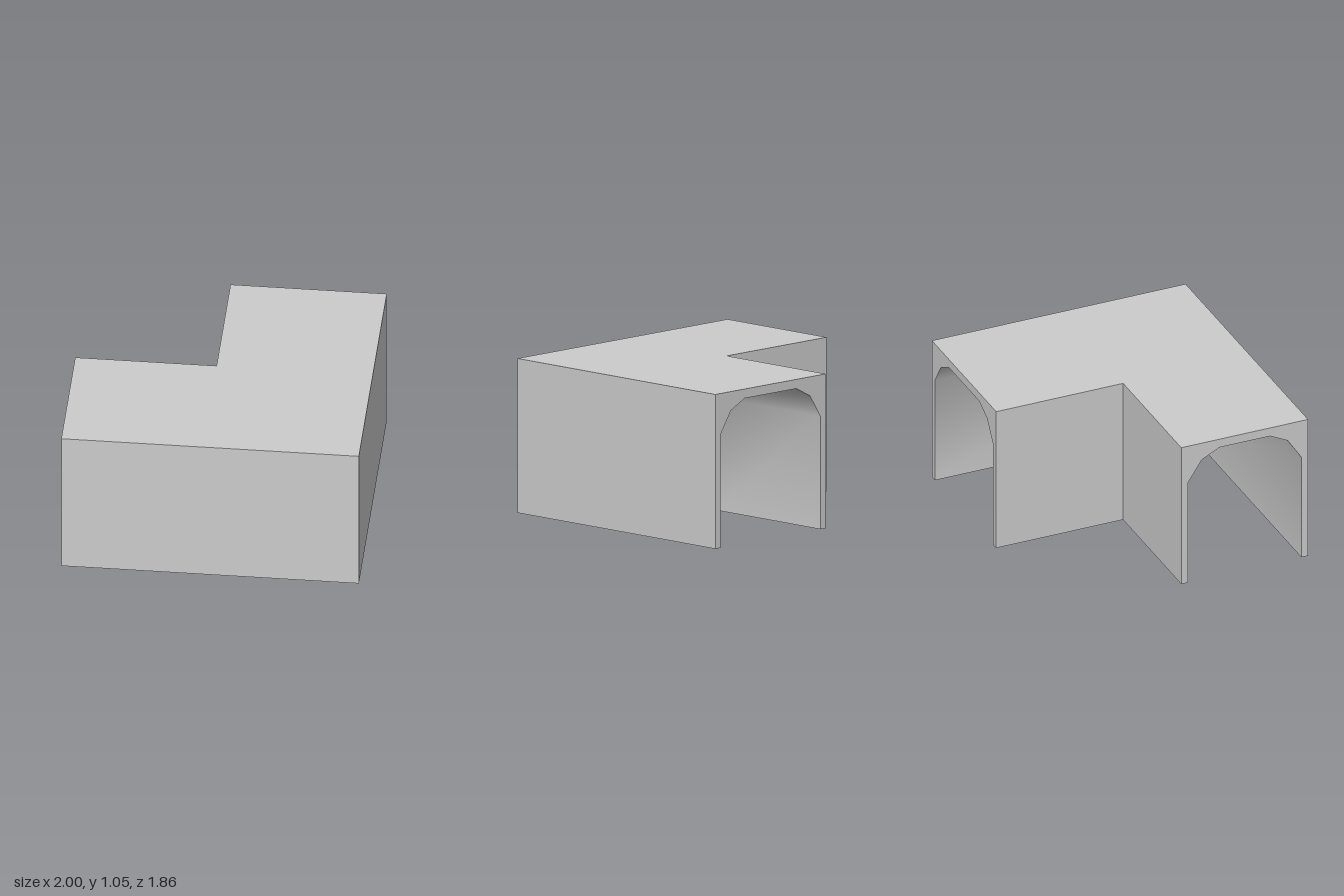
import * as THREE from 'three';
import { toCreasedNormals } from 'three/addons/utils/BufferGeometryUtils.js';

const H = 1.05;

// Half of the arched opening: [inset from the wall's outside, height]
const arch = [[0.05, 0], [0.05, 0.77], [0.15, 0.922], [0.28, 0.987]];

// Closed cross-section: outer wall, roof, inner wall, then the arch back again
const section = [
  ['outer', 0, 0], ['outer', 0, H], ['inner', 0, H], ['inner', 0, 0],
  ...arch.map(([d, y]) => ['inner', d, y]),
  ...[...arch].reverse().map(([d, y]) => ['outer', d, y]),
];
const xAt = ([side, d]) => (side === 'outer' ? 1 - d : -0.05 + d);
const zAt = ([side, d]) => (side === 'outer' ? 0.93 - d : d);

function cornerTunnelGeometry() {
  // Side opening, mitre at the bend, back opening
  const stations = [
    section.map((p) => [-1, p[2], zAt(p)]),
    section.map((p) => [xAt(p), p[2], zAt(p)]),
    section.map((p) => [xAt(p), p[2], -0.93]),
  ];
  const n = section.length;
  const index = [];
  for (let s = 0; s < 2; s++) {
    for (let k = 0; k < n; k++) {
      const a = s * n + k, b = s * n + (k + 1) % n;
      const d = a + n, c = b + n;
      index.push(a, d, c, a, c, b);
    }
  }
  // Rims of the two openings
  const rim = (at) => THREE.ShapeUtils.triangulateShape(
    section.map((p) => new THREE.Vector2(at(p), p[2])), []);
  for (const [a, b, c] of rim(zAt)) index.push(a, b, c);
  for (const [a, b, c] of rim(xAt)) index.push(2 * n + a, 2 * n + c, 2 * n + b);

  const geometry = new THREE.BufferGeometry();
  geometry.setAttribute('position', new THREE.Float32BufferAttribute(stations.flat(2), 3));
  geometry.setIndex(index);
  return toCreasedNormals(geometry, 0.62);
}

export function createModel() {
  const group = new THREE.Group();
  group.name = 'cornerTunnel';
  const shell = new THREE.Mesh(
    cornerTunnelGeometry(),
    new THREE.MeshStandardMaterial({ color: 0xcccccc }));
  shell.name = 'tunnelShell';
  group.add(shell);
  return group;
}
